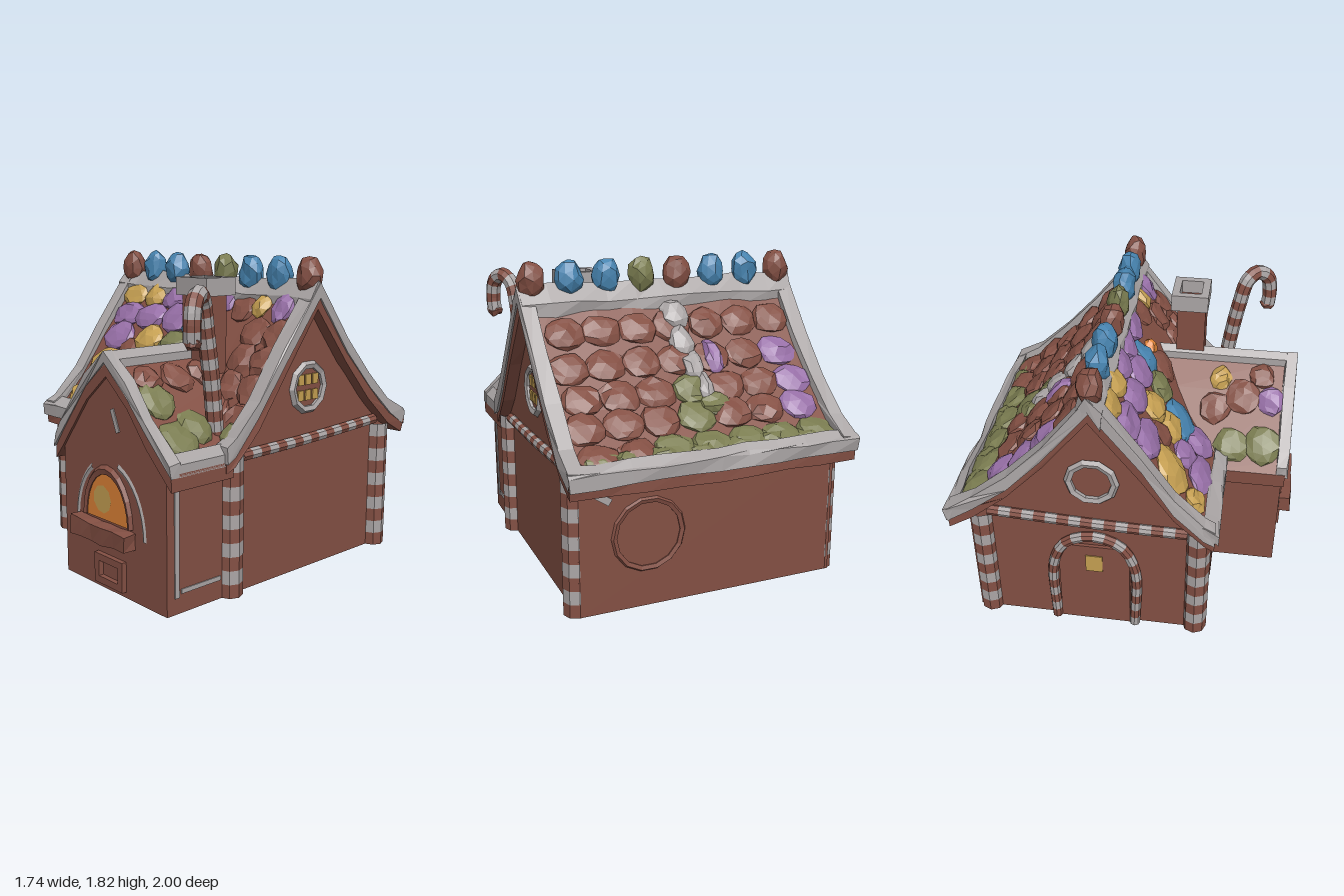
import * as THREE from 'three';

const mat = (name, color) => {
  const m = new THREE.MeshStandardMaterial({ color, flatShading: true, side: THREE.DoubleSide });
  m.name = name;
  return m;
};
const brown = mat('gingerbread', 0x845044), icing = mat('icing', 0xaba6a6), purple = mat('purple candy', 0x9870a8),
  blue = mat('blue candy', 0x4784b0), yellow = mat('yellow candy', 0xc6a052), olive = mat('olive candy', 0x7a7c50),
  orange = mat('orange glow', 0xde8236);
const CODE = { R: brown, P: purple, B: blue, Y: yellow, G: olive, W: icing, O: orange };

// roof profiles: main as [z, y], porch as [x, y]
const MAIN = [[-0.97, 0.79], [-0.82, 0.88], [-0.61, 1.06], [-0.395, 1.285], [-0.13, 1.62], [0.14, 1.27], [0.33, 1.0], [0.5, 0.83], [0.56, 0.8]];
const PORCH = [[-0.18, 0.76], [-0.12, 0.83], [0.13, 1.14], [0.31, 1.29], [0.49, 1.14], [0.64, 0.96], [0.84, 0.77]];
// front slope as [y, z], to find z from a height
const FRONT = MAIN.slice(4).reverse().map(([z, y]) => [y, z]);

function heightAt(prof, u) {
  for (let i = 1; i < prof.length; i++) {
    const [a, ya] = prof[i - 1], [b, yb] = prof[i];
    if (u <= b || i === prof.length - 1) return ya + (yb - ya) * (u - a) / (b - a);
  }
}
const slopeAt = (prof, u) => (heightAt(prof, u + 0.02) - heightAt(prof, u - 0.02)) / 0.04;
const slice = (prof, a, b) => [[a, heightAt(prof, a)], ...prof.filter(p => p[0] > a && p[0] < b), [b, heightAt(prof, b)]];
// a band following a profile, between two vertical offsets
const band = (prof, lo, hi) => [...prof.map(([u, y]) => [u, y + lo]), ...prof.map(([u, y]) => [u, y + hi]).reverse()];
const shape = pts => new THREE.Shape(pts.map(p => new THREE.Vector2(...p)));

// shift vertices by a repeatable amount so that shared corners stay joined
function rough(geo, amount) {
  const p = geo.attributes.position;
  for (let i = 0; i < p.count; i++) {
    const c = [p.getX(i), p.getY(i), p.getZ(i)], k = c.map(v => Math.round(v * 200));
    const d = s => { const n = Math.sin(k[0] * 12.9 + k[1] * 78.2 + k[2] * 37.7 + s) * 4375.5; return (n - Math.floor(n) - 0.5) * 2 * amount; };
    p.setXYZ(i, c[0] + d(1), c[1] + d(2), c[2] + d(3));
  }
  geo.computeVertexNormals();
  return geo;
}

export function createModel() {
  const root = new THREE.Group();
  const add = (name, geo, material, x = 0, y = 0, z = 0, parent = root) => {
    const m = new THREE.Mesh(geo, material);
    m.name = name;
    m.position.set(x, y, z);
    parent.add(m);
    return m;
  };
  const box = (name, m, x, y, z, w, h, d) => add(name, new THREE.BoxGeometry(w, h, d), m, x, y, z);
  const extrude = (pts, depth, steps = 1) => new THREE.ExtrudeGeometry(shape(pts), { depth, steps, bevelEnabled: false });
  // extrude a [z, y] outline from x0 to x1
  const alongX = (pts, x0, x1, steps) =>
    extrude(pts.map(([z, y]) => [-z, y]), x1 - x0, steps).rotateY(Math.PI / 2).translate(x0, 0, 0);
  // extrude an [x, y] outline from z0 to z1
  const alongZ = (pts, z0, z1) => extrude(pts, z1 - z0).translate(0, 0, z0);
  // bring the hidden end forward until it lies just under the main roof
  const tuck = geo => {
    const p = geo.attributes.position;
    for (let i = 0; i < p.count; i++) {
      const back = Math.min(0.5, 0.51 - (p.getY(i) - 0.78) / 1.2);
      p.setZ(i, back + (0.93 - back) * p.getZ(i));
    }
    geo.computeVertexNormals();
    return geo;
  };
  const lump = (name, m, x, y, z, sx, sy, sz, rx = 0, rz = 0) => {
    const g = new THREE.IcosahedronGeometry(1, 1).scale(sx, sy, sz).rotateX(rx).rotateZ(rz).translate(x, y, z);
    return add(name, rough(g, 0.009), m);
  };
  // a candy lump lying on the main roof
  const mainTile = (name, c, x, z, sx, sz, sy = 0.037) =>
    lump(name, CODE[c], x, heightAt(MAIN, z) + 0.005, z, sx, sy, sz, Math.atan(-slopeAt(MAIN, z)));
  // striped candy tube
  const cane = (name, pts, r, segments, step = 1) => {
    const curve = new THREE.CatmullRomCurve3(pts.map(p => new THREE.Vector3(...p)));
    const g = new THREE.TubeGeometry(curve, segments, r, 8);
    for (let j = 0; j < segments; j++) g.addGroup(j * 48, 48, Math.floor(j / step) % 2);
    return add(name, g, [brown, icing]);
  };

  // walls, set in behind the corner canes
  const under = slice(MAIN, -0.87, 0.49).map(([z, y]) => [z, y - 0.05]).reverse();
  add('mainWalls', alongX([[-0.87, 0], [0.49, 0], ...under], -0.775, 0.78), brown);
  const porchTop = slice(PORCH, -0.115, 0.785).map(([x, y]) => [x, y - 0.05]).reverse();
  add('porchWalls', alongZ([[-0.115, 0], [0.785, 0], ...porchTop], 0.4, 0.915), brown);

  // main roof with icing edges
  add('mainRoof', rough(alongX(band(MAIN, -0.09, 0), -0.85, 0.85, 8), 0.008), brown);
  for (const x of [-0.86, 0.77])
    add('gableIcing', rough(alongX(band(MAIN, -0.03, 0.06), x, x + 0.09, 1), 0.008), icing);
  add('backEaveIcing', rough(alongX(band(slice(MAIN, -0.985, -0.92), -0.02, 0.055), -0.86, 0.86, 10), 0.01), icing);
  add('frontEaveIcing', rough(alongX(band(slice(MAIN, 0.49, 0.575), -0.02, 0.05), -0.86, -0.13, 5), 0.006), icing);
  add('ridgeIcing', rough(alongX(band(slice(MAIN, -0.21, -0.06), -0.02, 0.065), -0.86, 0.86, 10), 0.01), icing);

  // porch roof with icing edges
  add('porchRoof', tuck(alongZ(band(PORCH, -0.09, 0), 0, 1)), brown);
  add('porchGableIcing', rough(alongZ(band(PORCH, -0.015, 0.055), 0.875, 0.94), 0.007), icing);
  for (const [a, b] of [[0.27, 0.36], [0.79, 0.84]])
    add('porchEdgeIcing', tuck(alongZ(band(slice(PORCH, a, b), -0.02, 0.045), 0, 1)), icing);

  // front slope candies: colour, x, y, half width, half height
  const front = [['Y', -0.665, 1.53, 0.115, 0.08], ['Y', -0.46, 1.53, 0.1, 0.08], ['P', -0.26, 1.53, 0.11, 0.08],
    ['P', -0.06, 1.53, 0.115, 0.08], ['P', 0.16, 1.53, 0.125, 0.08], ['R', 0.37, 1.5, 0.1, 0.08], ['Y', 0.51, 1.52, 0.06, 0.065],
    ['P', 0.67, 1.53, 0.08, 0.1], ['P', -0.63, 1.4, 0.14, 0.08], ['P', -0.4, 1.4, 0.14, 0.08], ['P', -0.15, 1.41, 0.13, 0.09],
    ['B', 0.02, 1.4, 0.085, 0.09], ['O', 0.16, 1.385, 0.045, 0.04], ['P', -0.6, 1.27, 0.15, 0.09], ['R', -0.44, 1.19, 0.09, 0.08],
    ['Y', -0.3, 1.27, 0.12, 0.085], ['Y', -0.29, 1.13, 0.12, 0.085], ['G', -0.07, 1.26, 0.115, 0.085], ['Y', -0.6, 1.07, 0.15, 0.125],
    ['B', -0.14, 1.07, 0.14, 0.12], ['P', -0.37, 1.0, 0.11, 0.09], ['Y', -0.66, 0.91, 0.09, 0.06], ['P', -0.42, 0.9, 0.17, 0.075],
    ['P', -0.16, 0.94, 0.12, 0.1], ['R', 0.13, 1.27, 0.11, 0.09], ['G', 0.76, 0.88, 0.07, 0.07]];
  for (const y of [1.38, 1.24, 1.1, 0.96]) for (const x of [0.55, 0.72]) front.push(['R', x, y, 0.1, 0.085]);
  for (const [c, x, y, w, h] of front) {
    const z = heightAt(FRONT, y);
    mainTile('frontCandy', c, x, z, w, h * 1.25, c === 'R' ? 0.03 : 0.042);
  }

  // back slope tiles: one letter per column, one string per row
  const rows = [[-0.29, 'RRRRRRR'], [-0.43, 'PRRRRRR'], [-0.57, 'PRRGRRR'], [-0.7, 'PRRGRRR'], [-0.85, 'GGGGGRR']];
  rows.forEach(([z, code], r) => [...code].forEach((c, i) =>
    mainTile('backTile', c, -0.65 + i * 0.217 + (r % 2 ? 0.02 : -0.01), z, 0.12, 0.105)));
  for (const x of [-0.6, -0.38, -0.16, 0.06, 0.28, 0.48, 0.64]) mainTile('mossTile', 'G', x, -0.88, 0.11, 0.07);
  mainTile('mossTile', 'G', -0.12, -0.65, 0.1, 0.08, 0.05);
  mainTile('backCandy', 'P', -0.2, -0.43, 0.065, 0.12, 0.055);
  for (const [x, z, w] of [[-0.04, -0.25, 0.085], [-0.04, -0.36, 0.075], [-0.06, -0.47, 0.065], [-0.09, -0.57, 0.05]])
    mainTile('icingDrip', 'W', x, z, w, 0.11, 0.06);

  // porch tiles: colour, x, z, size
  const porchTiles = [['G', -0.08, 0.59, 0.11], ['G', -0.07, 0.78, 0.12], ['R', 0.06, 0.47, 0.1], ['R', 0.11, 0.64, 0.11], ['P', 0.1, 0.81, 0.09],
    ['Y', 0.19, 0.49, 0.07], ['R', 0.21, 0.74, 0.08], ['R', 0.45, 0.36, 0.1], ['R', 0.45, 0.56, 0.1], ['R', 0.44, 0.75, 0.09],
    ['G', 0.54, 0.77, 0.11], ['G', 0.66, 0.62, 0.11], ['G', 0.7, 0.76, 0.12]];
  for (const [c, x, z, s] of porchTiles)
    lump('porchTile', CODE[c], x, heightAt(PORCH, x), z, s, 0.037, s, 0, Math.atan(slopeAt(PORCH, x)));

  // gumdrops along the ridge
  [...'RBBRGBBR'].forEach((c, i) => lump('gumdrop', CODE[c], -0.78 + i * 0.223, 1.705, -0.13, 0.083, 0.112, 0.068));

  // chimney with an open rim
  box('chimney', brown, 0.375, 1.3, 0.285, 0.18, 0.64, 0.17);
  const rim = shape([[-0.125, -0.11], [0.125, -0.11], [0.125, 0.11], [-0.125, 0.11]]);
  rim.holes.push(new THREE.Path([[-0.08, -0.065], [-0.08, 0.065], [0.08, 0.065], [0.08, -0.065]].map(p => new THREE.Vector2(...p))));
  add('chimneyRim', new THREE.ExtrudeGeometry(rim, { depth: 0.1, bevelEnabled: false }).rotateX(-Math.PI / 2), icing, 0.375, 1.6, 0.275);

  // candy canes: roof hook, corner posts, gable beams
  cane('roofCane', [[0.68, 0.85, 0.48], [0.68, 1.15, 0.51], [0.685, 1.45, 0.56], [0.705, 1.6, 0.6],
    [0.745, 1.645, 0.66], [0.78, 1.6, 0.725], [0.79, 1.5, 0.745], [0.785, 1.41, 0.74]], 0.047, 40, 2);
  lump('caneTip', brown, 0.785, 1.41, 0.74, 0.045, 0.04, 0.045);
  for (const [x, z] of [[0.775, 0.46], [0.775, -0.8], [-0.755, -0.8], [-0.755, 0.46]])
    cane('cornerCane', [[x, 0, z], [x, 0.38, z], [x, 0.78, z]], 0.072, 10);
  for (const s of [-1, 1]) {
    cane('gableBeam', [[s * 0.79, 0.77, 0.4], [s * 0.79, 0.78, -0.1], [s * 0.79, 0.81, -0.75]], 0.032, 17);
    // round gable window
    add('windowRing', new THREE.TorusGeometry(0.132, 0.024, 5, 10).rotateY(Math.PI / 2), icing, s * 0.782, 1.08, -0.14);
  }
  for (const z of [-0.2, -0.14, -0.08]) for (const y of [1.035, 1.125]) box('roundWindowPane', yellow, 0.784, y, z, 0.008, 0.06, 0.045);

  // side door
  box('sideDoor', brown, -0.78, 0.3, -0.14, 0.03, 0.6, 0.42);
  cane('doorArch', [[-0.79, 0, -0.38], [-0.79, 0.45, -0.38], [-0.79, 0.62, -0.3], [-0.79, 0.68, -0.14],
    [-0.79, 0.62, 0.02], [-0.79, 0.45, 0.1], [-0.79, 0, 0.1]], 0.032, 26);
  box('doorPane', yellow, -0.797, 0.47, -0.14, 0.008, 0.12, 0.1);

  // glowing arched opening with sill and icing arch
  add('archGlow', new THREE.CircleGeometry(0.19, 12, 0, Math.PI).scale(1, 1.47, 1), orange, 0.29, 0.4, 0.92);
  add('archLight', new THREE.CircleGeometry(0.08, 9), yellow, 0.25, 0.515, 0.924);
  add('archFrame', new THREE.TorusGeometry(0.2, 0.02, 5, 12, Math.PI).scale(1, 1.42, 1), brown, 0.29, 0.4, 0.915);
  add('sill', rough(new THREE.BoxGeometry(0.49, 0.1, 0.13, 5, 1, 1), 0.008), brown, 0.285, 0.34, 0.93);
  for (const [from, arc] of [[0, 1.3], [2.1, 1.1]])
    add('archIcing', new THREE.TorusGeometry(0.3, 0.014, 4, 8, arc).rotateZ(from).scale(1, 1.25, 0.5), icing, 0.31, 0.36, 0.917);

  // rectangular frame around a front opening
  const frame = (name, x, y, z, w, h, t) => {
    for (const s of [-1, 1]) {
      box(name, brown, x + s * (w - t) / 2, y, z, t, h, 0.06);
      box(name, brown, x, y + s * (h - t) / 2, z, w, t, 0.06);
    }
  };
  frame('lowerHatch', 0.32, 0.12, 0.915, 0.25, 0.17, 0.04);
  frame('windowFrame', -0.42, 0.42, 0.5, 0.3, 0.34, 0.05);
  for (const sx of [-1, 1]) for (const sy of [-1, 1])
    add('windowPane', new THREE.CylinderGeometry(0.05, 0.05, 0.008, 8).rotateX(Math.PI / 2), yellow, -0.42 + sx * 0.052, 0.42 + sy * 0.068, 0.494);

  // piped icing lines
  box('frontIcingLine', icing, -0.41, 0.1, 0.492, 0.58, 0.03, 0.008);
  box('sideIcingLine', icing, 0.787, 0.4, 0.85, 0.008, 0.62, 0.03);
  box('sideIcingLine', icing, 0.787, 0.12, 0.68, 0.008, 0.025, 0.28);
  box('gableIcingDab', icing, 0.37, 0.97, 0.917, 0.03, 0.13, 0.008).rotation.z = 0.4;
  box('backIcingDab', icing, 0.64, 0.66, -0.872, 0.1, 0.04, 0.008).rotation.z = 0.6;

  // raised round ornament on the back wall
  add('backOrnament', new THREE.TorusGeometry(0.2, 0.02, 5, 14), brown, 0.38, 0.42, -0.865);

  return root;
}
